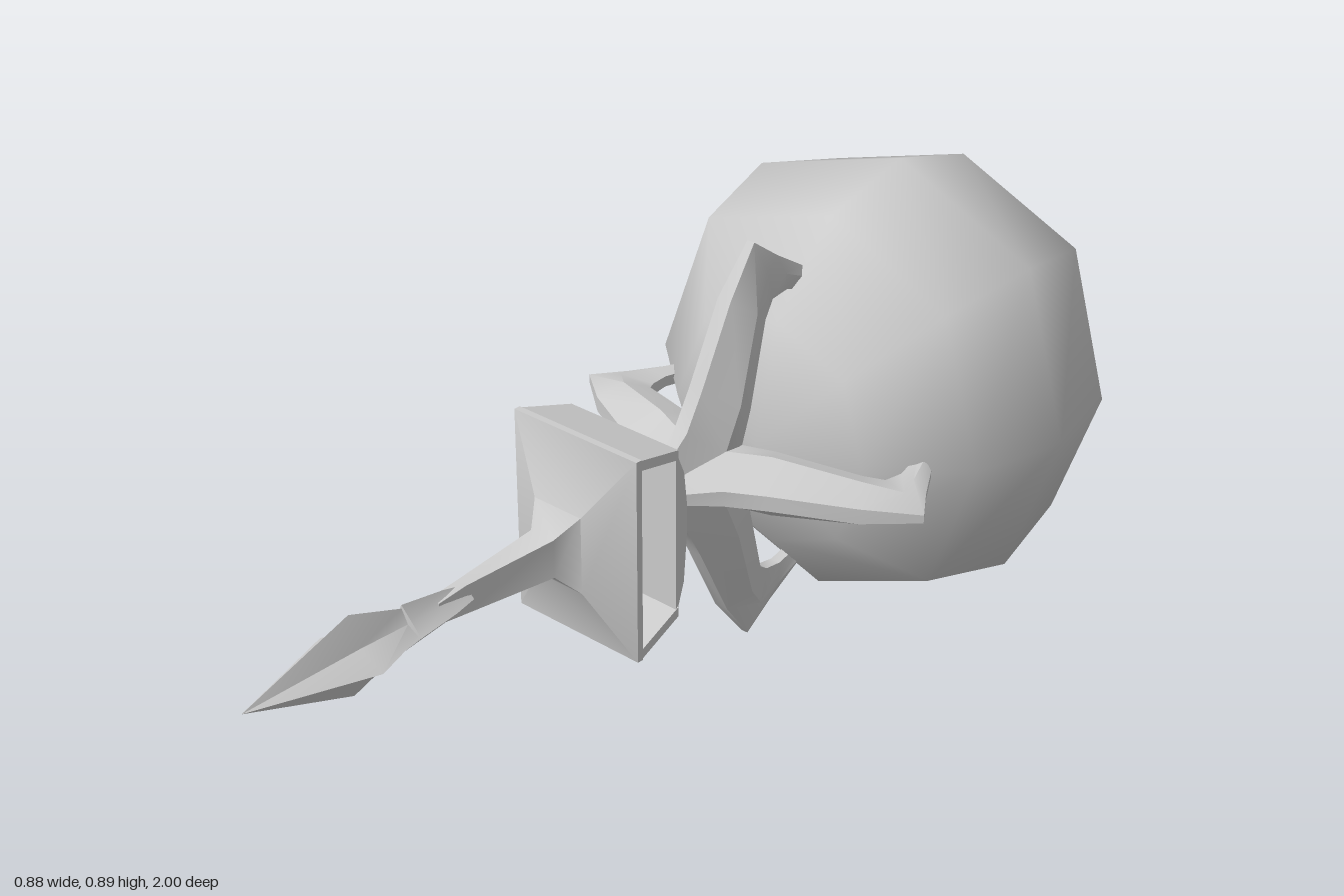
import * as THREE from 'three';
import { toCreasedNormals } from 'three/addons/utils/BufferGeometryUtils.js';

const CY = 0.437, CX = 0.015;

// Skin over equal-length rings of [x, y, z], capped at both ends and turned outward
function loft(rings, crease = 0.6) {
  const n = rings[0].length, p = rings.flat(), idx = [];
  for (let r = 0; r < rings.length - 1; r++) {
    for (let i = 0; i < n; i++) {
      const a = r * n + i, b = r * n + (i + 1) % n;
      idx.push(a, b, a + n, b, b + n, a + n);
    }
  }
  const last = (rings.length - 1) * n;
  for (let i = 1; i < n - 1; i++) idx.push(0, i + 1, i, last, last + i, last + i + 1);
  let vol = 0;
  const v = p.map(q => new THREE.Vector3(...q));
  for (let i = 0; i < idx.length; i += 3) {
    vol += v[idx[i]].dot(v[idx[i + 1]].clone().cross(v[idx[i + 2]]));
  }
  if (vol < 0) idx.reverse();
  const g = new THREE.BufferGeometry();
  g.setAttribute('position', new THREE.Float32BufferAttribute(p.flat(), 3));
  g.setIndex(idx);
  return toCreasedNormals(g, crease);
}

const rect = (z, hx, y0, y1) => [[-hx, y0, z], [hx, y0, z], [hx, y1, z], [-hx, y1, z]];

// Four-pointed star section
function star(z, r, inner) {
  return Array.from({ length: 8 }, (_, i) => {
    const a = i * Math.PI / 4, q = i % 2 ? r * inner : r;
    return [q * Math.cos(a), q * Math.sin(a), z];
  });
}

export function createModel() {
  const model = new THREE.Group();
  const mat = new THREE.MeshStandardMaterial({ color: 0xcccccc });
  const add = (name, geo, parent, x = CX, y = CY) => {
    const m = new THREE.Mesh(geo, mat);
    m.name = name;
    m.position.set(x, y, 0);
    parent.add(m);
    return m;
  };

  // Low-sided ball with its poles along z
  const equator = [[0.435, -0.01], [0.335, 0.315], [0.03, 0.45], [-0.31, 0.35],
    [-0.44, 0], [-0.29, -0.335], [0.03, -0.44], [0.33, -0.315]];
  const ballRings = [0, 0.53, 0.89, 1, 0.88, 0.52, 0].map((s, i) => {
    const z = -0.595 - 0.405 * Math.cos(i * Math.PI / 6);
    return equator.map(([x, y]) => [0.03 * (1 - s) + x * s, y * s, z]);
  });
  add('ball', loft(ballRings, 1.3), model, 0, 0.44);

  // Four claw arms: outer r, z; inner r, z; half width
  const stations = [
    [0.01, 0.095, -0.01, 0.03, 0.02],
    [0.1, 0.0, 0.0, -0.12, 0.055],
    [0.17, -0.04, 0.1, -0.15, 0.06],
    [0.32, -0.115, 0.26, -0.2, 0.042],
    [0.41, -0.185, 0.285, -0.235, 0.02],
    [0.365, -0.25, 0.29, -0.275, 0.018],
    [0.32, -0.325, 0.27, -0.35, 0.018],
  ];
  const armRings = stations.map(([r0, z0, r1, z1, w]) => {
    const r = r0 * 0.5 + r1 * 0.5, z = z0 * 0.5 + z1 * 0.5, o = Math.min(w * 0.4, 0.015);
    return [[-o, r0, z0], [o, r0, z0], [w, r, z], [w * 0.6, r1, z1], [-w * 0.6, r1, z1], [-w, r, z]];
  });
  const armGeo = loft(armRings, 0.7);
  const claw = new THREE.Group();
  claw.name = 'claw';
  for (let i = 0; i < 4; i++) add('clawArm', armGeo, claw).rotation.z = i * Math.PI / 2;
  model.add(claw);

  // Guard block, open from side to side
  const guard = new THREE.Group();
  guard.name = 'guard';
  for (const s of [1, -1]) {
    add('guardPlate', loft([rect(0.145, 0.128, s * 0.148, s * 0.167),
      rect(0.262, 0.145, s * 0.179, s * 0.198)]), guard);
  }
  add('guardBack', loft([rect(0.092, 0.1, -0.025, 0.025), rect(0.12, 0.118, -0.11, 0.11),
    rect(0.152, 0.128, -0.167, 0.167)]), guard);
  model.add(guard);

  // Front plate flaring into the shaft
  const shaft = [[0.255, 0.145, 0.198], [0.268, 0.145, 0.198], [0.312, 0.055, 0.075],
    [0.35, 0.027, 0.037], [0.54, 0.012, 0.027], [0.6, 0.012, 0.02]];
  add('shaft', loft(shaft.map(([z, hx, hy]) => rect(z, hx, -hy, hy)), 0.8), model);

  // Star-shaped collar and spear tip
  add('collar', loft([star(0.53, 0.02, 0.6), star(0.58, 0.032, 0.55), star(0.67, 0.045, 0.5)]), model);
  add('spearTip', loft([star(0.6, 0.018, 0.6), star(0.67, 0.038, 0.5), star(0.78, 0.077, 0.42),
    star(1, 0.0005, 0.5)]), model);

  return model;
}
